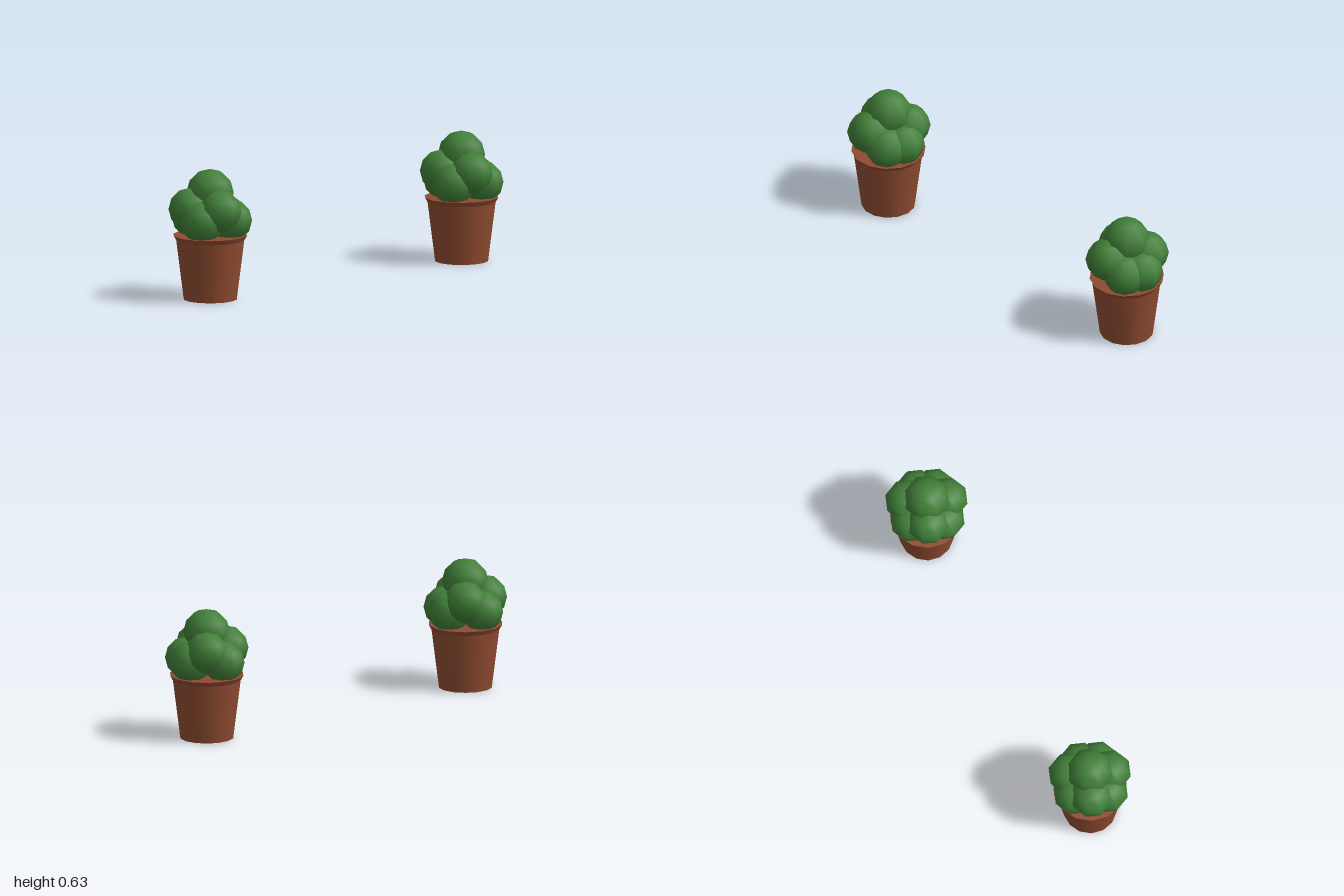
import * as THREE from 'three';

const clay = new THREE.MeshStandardMaterial({ color: 0x8f4b30 });
const leaf = new THREE.MeshStandardMaterial({ color: 0x417f38 });

function addMesh(parent, name, geometry, material, x = 0, y = 0, z = 0) {
  const mesh = new THREE.Mesh(geometry, material);
  mesh.name = name;
  mesh.position.set(x, y, z);
  parent.add(mesh);
  return mesh;
}

function pottedBush() {
  const plant = new THREE.Group();
  plant.name = 'pottedBush';

  // Tapered pot with a short flared rim and a flat top
  const sides = 14, rimStart = 0.29, potTop = 0.3125;
  const body = addMesh(plant, 'pot',
    new THREE.CylinderGeometry(0.167, 0.13, rimStart, sides), clay, 0, rimStart / 2);
  const rim = addMesh(plant, 'potRim',
    new THREE.CylinderGeometry(0.18, 0.167, potTop - rimStart, sides), clay, 0, (potTop + rimStart) / 2);
  body.rotation.y = rim.rotation.y = Math.PI / 2;

  // Bush: one crown ball over a ring of seven balls at two heights
  const bush = new THREE.Group();
  bush.name = 'bush';
  plant.add(bush);
  addMesh(bush, 'crownBall', new THREE.SphereGeometry(0.114, 8, 6), leaf, 0, 0.52, 0);
  const ball = new THREE.SphereGeometry(0.104, 8, 6);
  for (let i = 0; i < 7; i++) {
    const angle = (i / 7) * Math.PI * 2;
    const raised = i > 0 && i % 2 === 0;
    addMesh(bush, 'leafBall', ball, leaf,
      0.1 * Math.cos(angle), raised ? 0.4415 : 0.388, 0.1 * Math.sin(angle));
  }
  return plant;
}

export function createModel() {
  const model = new THREE.Group();
  model.name = 'pairOfPottedBushes';
  // The same plant stands at each end
  for (const [name, x] of [['rightPottedBush', -0.806], ['leftPottedBush', 0.796]]) {
    const plant = pottedBush();
    plant.name = name;
    plant.position.x = x;
    model.add(plant);
  }
  return model;
}
